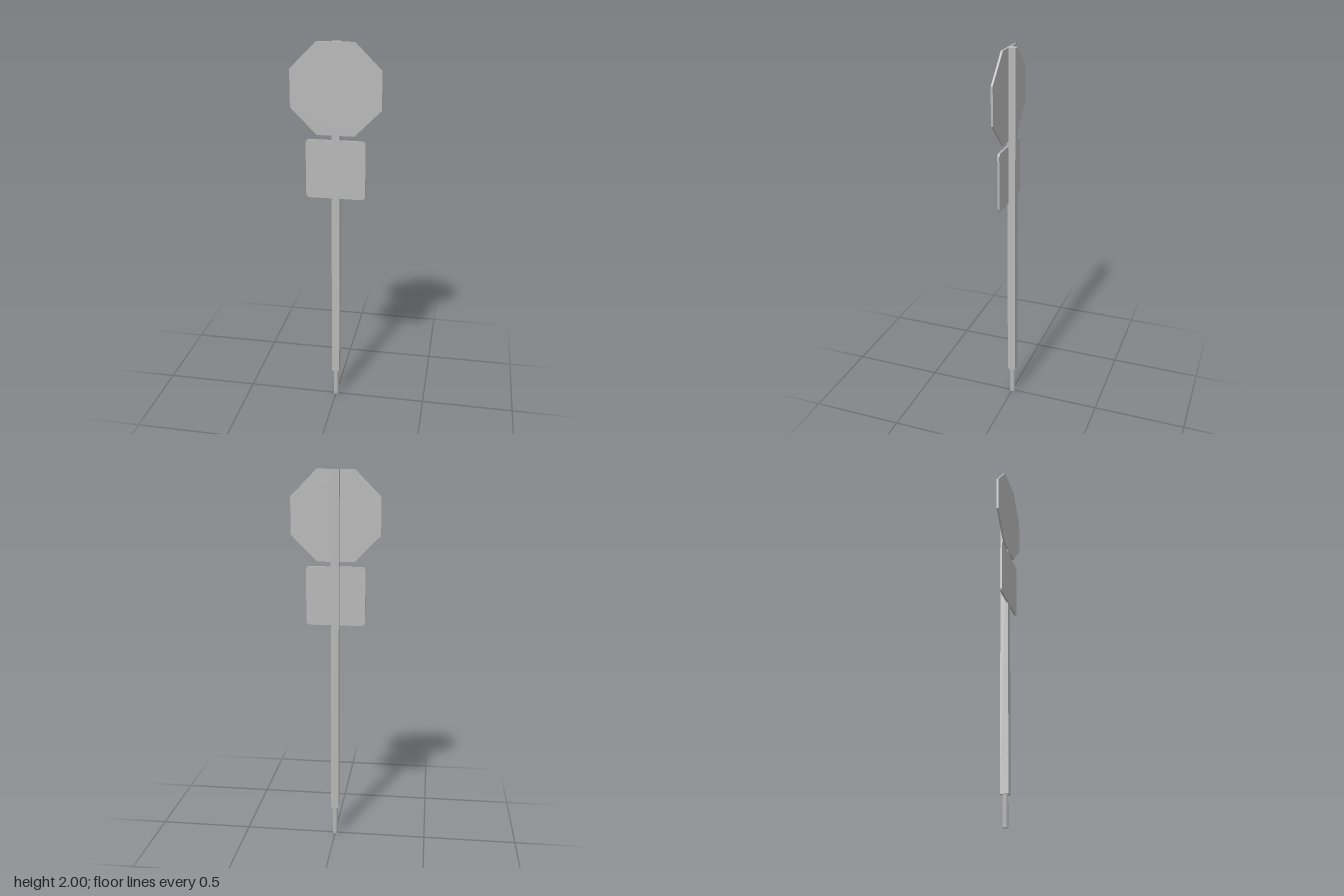
import * as THREE from 'three';

const PLATE_BACK = 0.0125, PLATE_DEPTH = 0.0105;

export function createModel() {
  const model = new THREE.Group();
  model.name = 'roadSign';
  const metal = new THREE.MeshStandardMaterial({ color: 0xb8b8b8 });
  metal.name = 'grey metal';

  const add = (name, geometry, x, y, z) => {
    const mesh = new THREE.Mesh(geometry, metal);
    mesh.name = name;
    mesh.position.set(x, y, z);
    model.add(mesh);
  };
  const plate = (shape) => new THREE.ExtrudeGeometry(shape, {
    depth: PLATE_DEPTH, bevelEnabled: false, curveSegments: 4,
  });

  // Square post, flush with the top of the upper plate
  add('post', new THREE.BoxGeometry(0.042, 1.84, 0.043), 0, 1.08, -0.0015);

  // Narrow ground spike under the post
  const spike = new THREE.CylinderGeometry(0.0148, 0.0148, 0.17, 8);
  spike.rotateY(Math.PI / 8);
  add('groundSpike', spike, 0, 0.085, -0.0015);

  // Octagonal plate with flat top and sides
  const radius = 0.2325 / Math.cos(Math.PI / 8);
  const corners = Array.from({ length: 8 }, (_, i) => {
    const a = (i + 0.5) * Math.PI / 4;
    return new THREE.Vector2(radius * Math.cos(a), radius * Math.sin(a));
  });
  add('octagonPlate', plate(new THREE.Shape(corners)), 0, 1.7675, PLATE_BACK);

  // Square plate with rounded corners
  const h = 0.155, r = 0.02;
  const square = new THREE.Shape();
  [[1, 1], [-1, 1], [-1, -1], [1, -1]].forEach(([sx, sy], i) => {
    const start = i * Math.PI / 2;
    square.absarc(sx * (h - r), sy * (h - r), r, start, start + Math.PI / 2, false);
  });
  square.closePath();
  add('squarePlate', plate(square), 0, 1.355, PLATE_BACK);

  return model;
}
